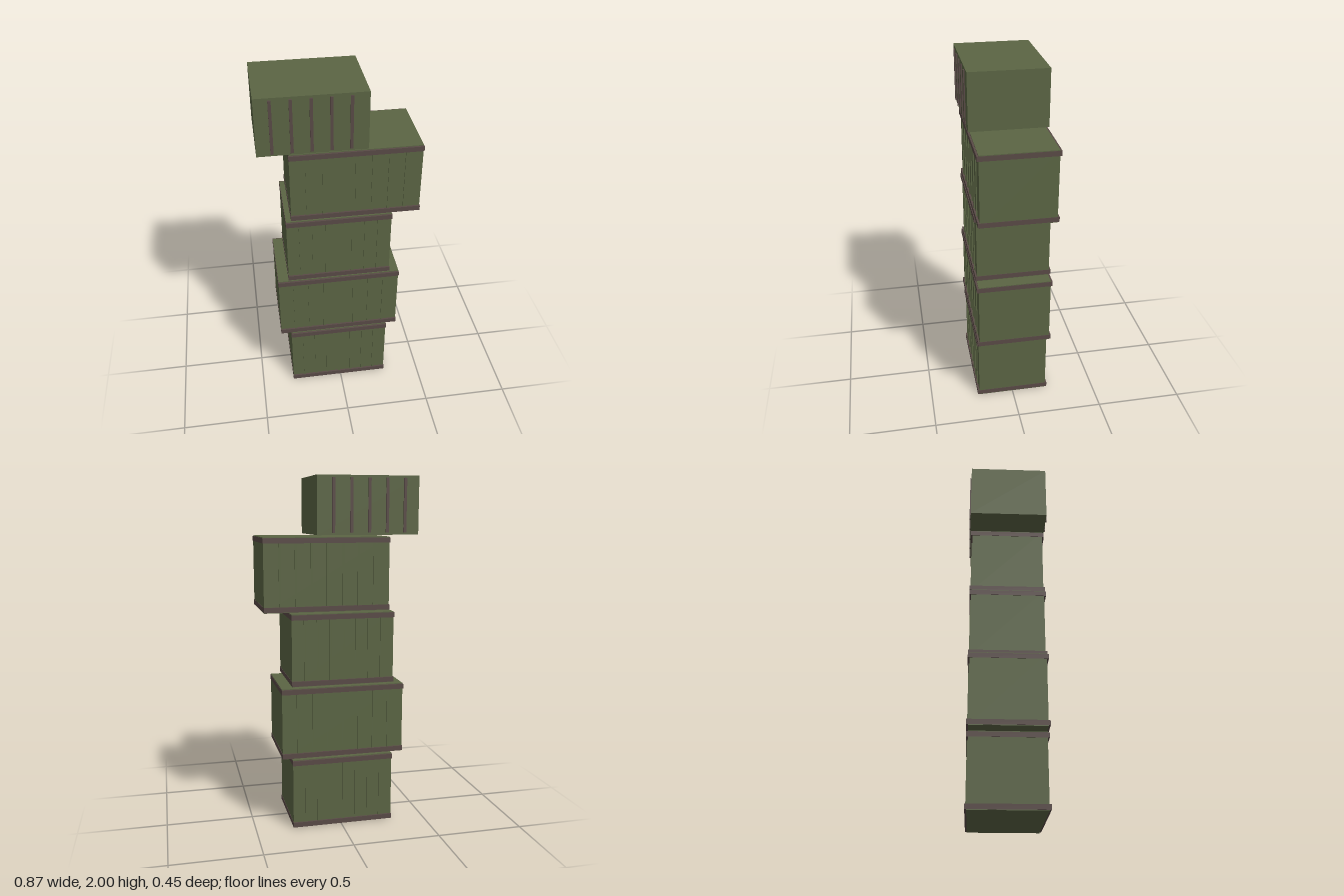
import * as THREE from 'three';

const green = new THREE.MeshStandardMaterial({ color: 0x5b6544 });
green.name = 'olive green';
const brown = new THREE.MeshStandardMaterial({ color: 0x594a46 });
brown.name = 'dark brown';

function addBox(parent, name, size, position, material) {
  const mesh = new THREE.Mesh(new THREE.BoxGeometry(...size), material);
  mesh.name = name;
  mesh.position.set(...position);
  parent.add(mesh);
}

// Ribbed crate with a rail band around its top and bottom edges
function railedCrate(name, x0, x1, y0) {
  const crate = new THREE.Group();
  crate.name = name;
  const width = x1 - x0, height = 0.41;
  crate.position.set((x0 + x1) / 2, y0, 0);
  addBox(crate, 'crateBody', [width, height, 0.414], [0, height / 2, 0], green);
  for (const y of [0.018, height - 0.018])
    addBox(crate, 'rail', [width + 0.004, 0.028, 0.434], [0, y, 0], brown);
  // Seven ribs split each long side into eight panels
  for (const side of [1, -1])
    for (let i = 1; i < 8; i++)
      addBox(crate, 'rib', [0.011, height - 0.064, 0.008],
        [-width / 2 + (width * i) / 8, height / 2, side * 0.209], green);
  return crate;
}

// Plain top crate with brown slats on its long sides
function topCrate() {
  const crate = new THREE.Group();
  crate.name = 'topCrate';
  crate.position.set(-0.149, 1.68, 0);
  addBox(crate, 'crateBody', [0.577, 0.32, 0.438], [0, 0.16, 0], green);
  for (const side of [1, -1])
    for (let i = -2; i <= 2; i++)
      addBox(crate, 'slat', [0.016, 0.295, 0.012], [-0.005 + i * 0.1015, 0.16, side * 0.2205], brown);
  return crate;
}

export function createModel() {
  const model = new THREE.Group();
  model.name = 'crateStack';
  model.add(
    railedCrate('firstCrate', -0.305, 0.283, 0),
    railedCrate('secondCrate', -0.366, 0.342, 0.42),
    railedCrate('thirdCrate', -0.305, 0.283, 0.84),
    railedCrate('fourthCrate', -0.275, 0.434, 1.26),
    topCrate()
  );
  return model;
}
